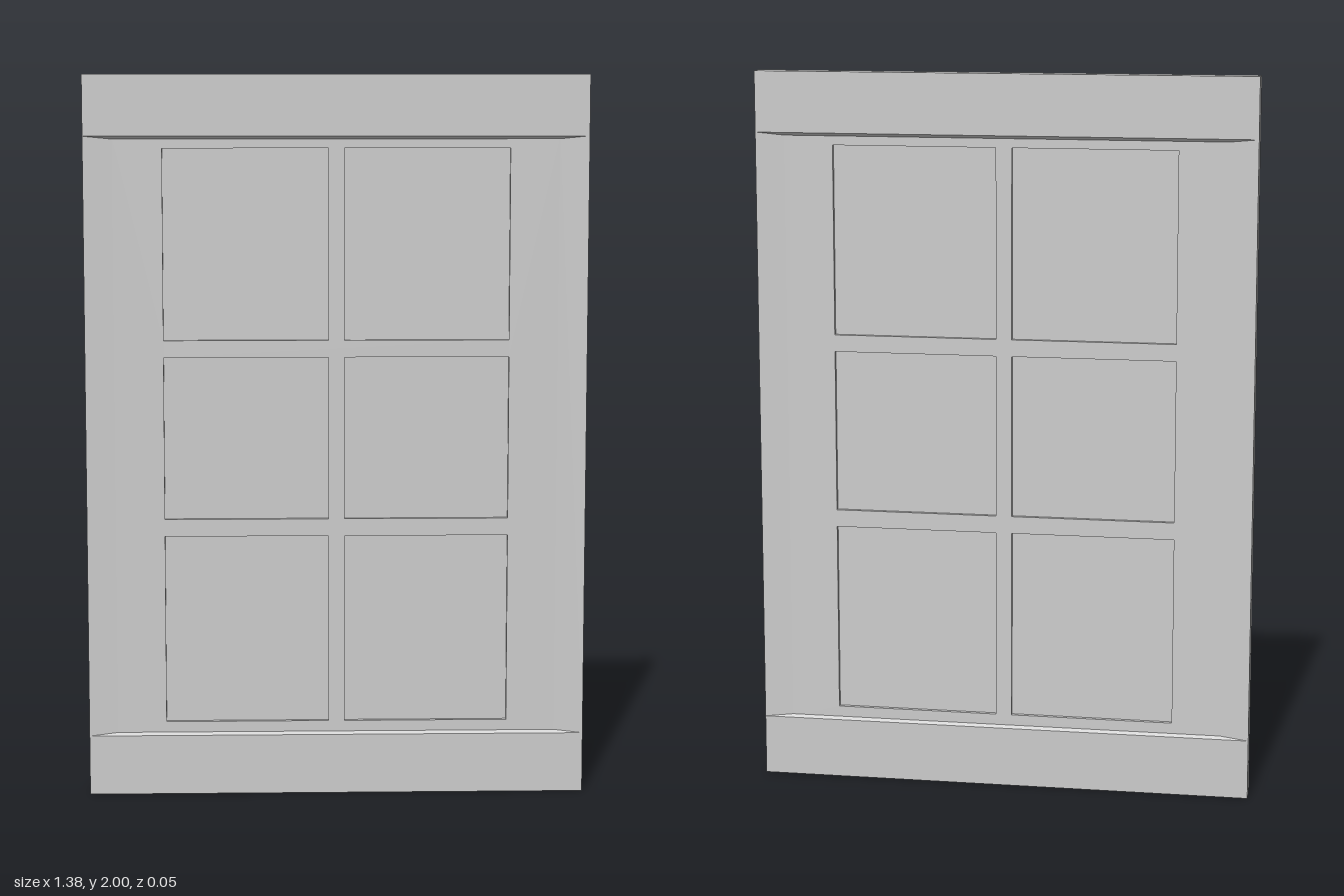
import * as THREE from 'three';

const W = 0.69, T = 0.025;          // half width, half thickness
const FIELD = 0.61, R = 0.017;      // flat field half width and half thickness
const PANE = 0.005;                 // pane half thickness
const RAIL = 0.167, LIP = 0.175;    // rail height at the face and at the field

const polygon = (points) => new THREE.Shape(points.map(([x, y]) => new THREE.Vector2(x, y)));

function rect(x0, x1, y0, y1) {
  return [[x0, y0], [x1, y0], [x1, y1], [x0, y1]];
}

function extrude(shape, depth) {
  const geometry = new THREE.ExtrudeGeometry(shape, { depth, bevelEnabled: false });
  return geometry.translate(0, 0, -depth / 2);
}

export function createModel() {
  const group = new THREE.Group();
  const material = new THREE.MeshStandardMaterial({ color: 0xcccccc, flatShading: true });
  const add = (name, geometry) => {
    const mesh = new THREE.Mesh(geometry, material);
    mesh.name = name;
    group.add(mesh);
    return mesh;
  };

  // Lattice: flat field with six pane openings
  const lattice = polygon(rect(-FIELD, FIELD, RAIL, 2 - RAIL));
  const columns = [[-0.475, -0.022], [0.022, 0.475]];
  const rows = [[0.205, 0.73], [0.778, 1.228], [1.275, 1.80]];
  for (const [x0, x1] of columns) {
    for (const [y0, y1] of rows) {
      lattice.holes.push(new THREE.Path(polygon(rect(x0, x1, y0, y1)).getPoints()));

      // Sunken pane, visible from both faces
      const pane = new THREE.BoxGeometry(x1 - x0, y1 - y0, PANE * 2);
      add('pane', pane.translate((x0 + x1) / 2, (y0 + y1) / 2, 0));
    }
  }
  add('lattice', extrude(lattice, R * 2));

  // Top and bottom rails with a small bevel down to the field
  for (const [name, place] of [['bottomRail', (y) => y], ['topRail', (y) => 2 - y]]) {
    const profile = [[-T, 0], [T, 0], [T, RAIL], [R, LIP], [-R, LIP], [-T, RAIL]];
    const shape = polygon(profile.map(([z, y]) => [z, place(y)]));
    add(name, extrude(shape, W * 2).rotateY(Math.PI / 2));
  }

  // Side stiles, tapering inward from full thickness to the field
  for (const [name, s] of [['leftStile', 1], ['rightStile', -1]]) {
    const shape = polygon([[s * W, -T], [s * W, T], [s * FIELD, R], [s * FIELD, -R]]);
    add(name, extrude(shape, 2 - RAIL * 2).rotateX(Math.PI / 2).translate(0, 1, 0));
  }

  return group;
}
